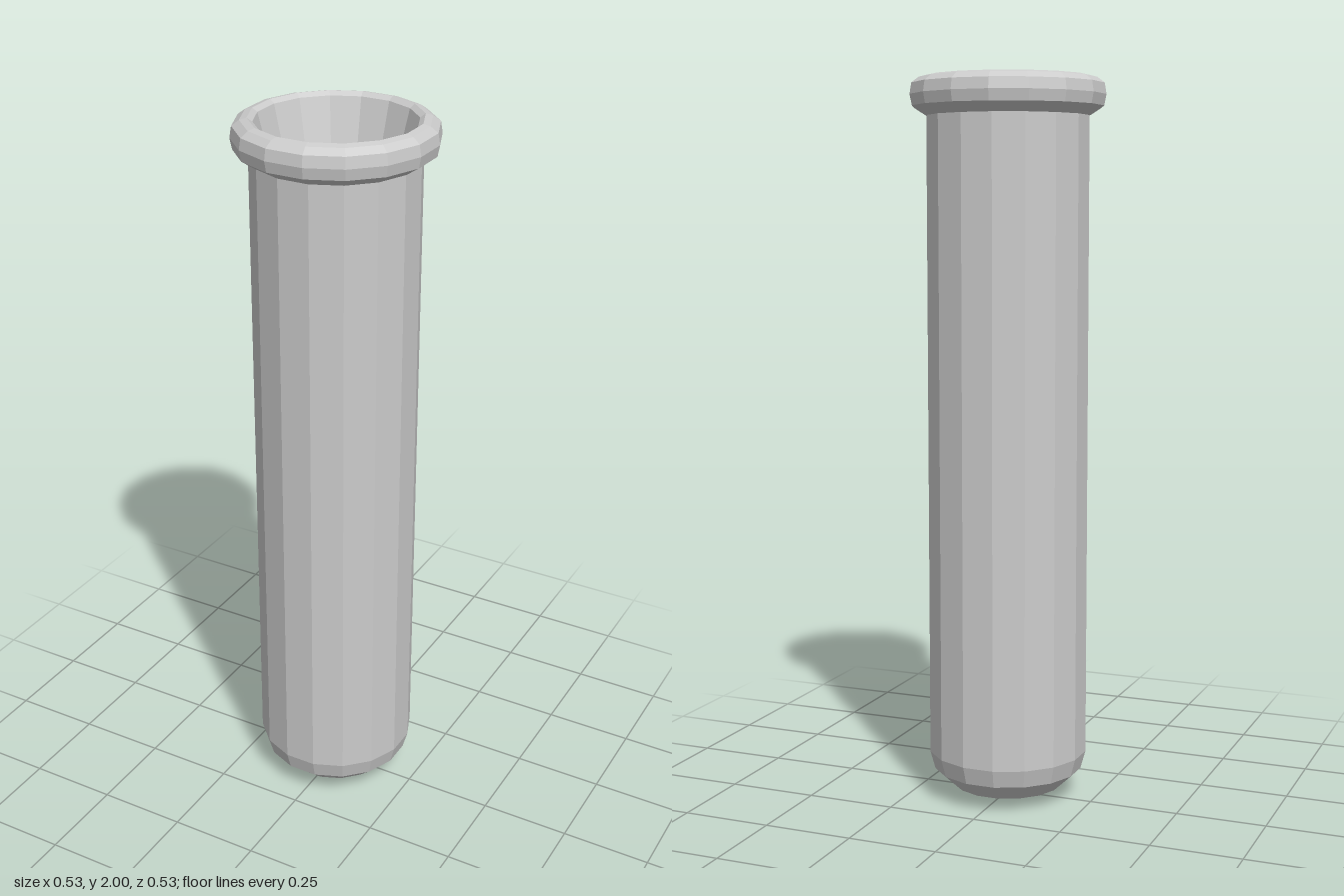
import * as THREE from 'three';

const SIDES = 16;
const material = new THREE.MeshStandardMaterial({ color: 0xcccccc, flatShading: true });

// Faceted revolved part; half a facet of turn puts flat faces to front and sides
function revolve(name, profile) {
  const points = profile.map(([r, y]) => new THREE.Vector2(r, y));
  const mesh = new THREE.Mesh(new THREE.LatheGeometry(points, SIDES, Math.PI / SIDES), material);
  mesh.name = name;
  return mesh;
}

export function createModel() {
  const tube = new THREE.Group();
  tube.name = 'testTube';

  // Rounded closed end
  tube.add(revolve('roundedBottom', [
    [0, 0], [0.09, 0.01], [0.155, 0.03], [0.209, 0.08], [0.223, 0.13],
  ]));

  // Straight outer wall
  tube.add(revolve('outerWall', [[0.223, 0.13], [0.223, 1.9]]));

  // Rolled lip around the mouth
  tube.add(revolve('lip', [
    [0.223, 1.895], [0.262, 1.92], [0.268, 1.95], [0.263, 1.98],
    [0.243, 1.995], [0.224, 2], [0.21, 1.99],
  ]));

  // Funnel mouth, straight bore and flat floor
  tube.add(revolve('innerWall', [
    [0.21, 1.99], [0.179, 1.87], [0.176, 0.08], [0, 0.08],
  ]));

  return tube;
}
